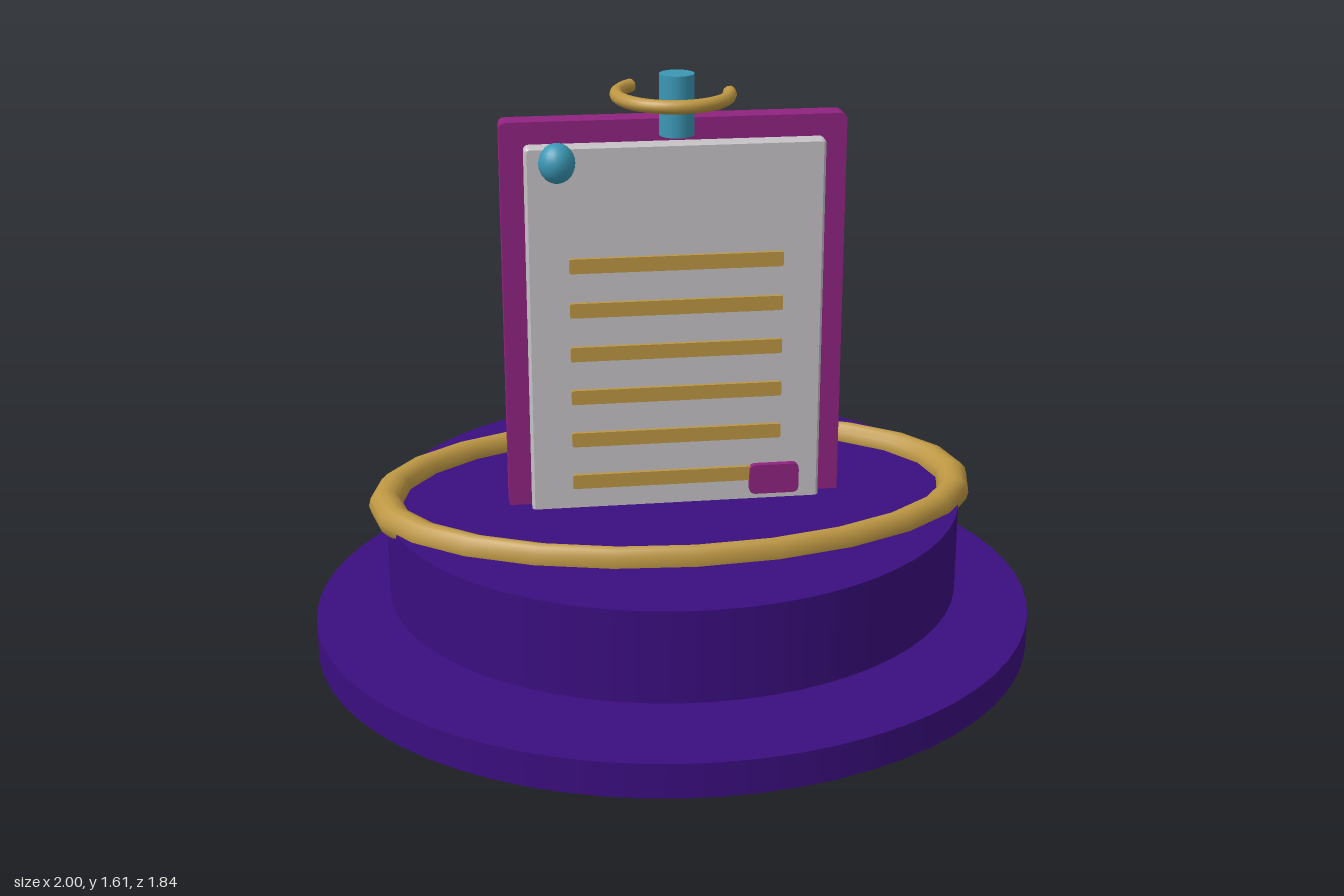
import * as THREE from 'three';

const mat = (name, color) => {
  const m = new THREE.MeshStandardMaterial({ color });
  m.name = name;
  return m;
};

export function createModel() {
  const purple = mat('purple', 0x3b0e80);
  const gold = mat('gold', 0xbd9743);
  const magenta = mat('magenta', 0x902380);
  const grey = mat('paper grey', 0xc6c2c6);
  const teal = mat('teal', 0x3a98b5);

  const model = new THREE.Group();
  model.name = 'clipboardStand';

  const add = (name, geometry, material, x = 0, y = 0, z = 0) => {
    const mesh = new THREE.Mesh(geometry, material);
    mesh.name = name;
    mesh.position.set(x, y, z);
    model.add(mesh);
    return mesh;
  };

  // Rounded rectangle plate spanning x0..x1, y0..y1 and z0..z1
  const plate = (name, material, x0, x1, y0, y1, z0, z1, r, bevel = 0) => {
    const a = x0 + bevel, b = x1 - bevel, c = y0 + bevel, d = y1 - bevel;
    const s = new THREE.Shape();
    s.moveTo(a + r, c);
    s.lineTo(b - r, c);
    s.quadraticCurveTo(b, c, b, c + r);
    s.lineTo(b, d - r);
    s.quadraticCurveTo(b, d, b - r, d);
    s.lineTo(a + r, d);
    s.quadraticCurveTo(a, d, a, d - r);
    s.lineTo(a, c + r);
    s.quadraticCurveTo(a, c, a + r, c);
    const geometry = new THREE.ExtrudeGeometry(s, {
      depth: z1 - z0 - 2 * bevel, curveSegments: 4,
      bevelEnabled: bevel > 0, bevelSize: bevel, bevelThickness: bevel, bevelSegments: 1,
    });
    return add(name, geometry, material, 0, 0, z0 + bevel);
  };

  // Oval base and the smaller drum hovering above it
  const disc = (name, rx, rz, y0, y1) => {
    const g = new THREE.CylinderGeometry(1, 1, y1 - y0, 64);
    g.scale(rx, 1, rz);
    add(name, g, purple, 0, (y0 + y1) / 2, 0);
  };
  disc('base', 1, 0.918, 0, 0.096);
  disc('drum', 0.793, 0.73, 0.155, 0.41);

  // Oval rim ring lying on the drum
  const rim = new THREE.TorusGeometry(0.795, 0.045, 12, 24);
  rim.rotateX(Math.PI / 2);
  rim.scale(1, 1, 0.578);
  add('rimRing', rim, gold, 0, 0.416, 0);

  // Board, sheet and written lines
  plate('board', magenta, -0.457, 0.457, 0.3, 1.48, -0.034, 0.034, 0.02);
  plate('sheet', grey, -0.396, 0.396, 0.35, 1.422, 0.03, 0.073, 0.008, 0.007);
  for (let i = 0; i < 6; i++) {
    const y = 1.102 - i * 0.1225;
    plate('textLine', gold, -0.285, 0.285, y - 0.02, y + 0.02, 0.07, 0.084, 0.006);
  }
  plate('cornerTab', magenta, 0.2, 0.337, 0.43, 0.515, 0.06, 0.091, 0.018);

  // Round pin at the upper corner of the sheet
  const pin = new THREE.SphereGeometry(1, 20, 14);
  pin.scale(0.048, 0.053, 0.047);
  add('pin', pin, teal, -0.312, 1.38, 0.076);

  // Clip post with its open ring
  add('clipPost', new THREE.CylinderGeometry(0.046, 0.046, 0.16, 24), teal, 0, 1.525, 0.07);
  const clip = new THREE.TorusGeometry(0.148, 0.018, 10, 24, Math.PI * 1.27);
  clip.rotateX(Math.PI / 2);
  clip.scale(1, 1, 1.07);
  const clipRing = add('clipRing', clip, gold, 0, 1.536, 0);
  // Caps closing the two ends of the clip ring
  for (const [angle, turn] of [[0, Math.PI], [Math.PI * 1.27, -Math.PI * 1.27]]) {
    const cap = new THREE.Mesh(new THREE.CircleGeometry(0.018, 10), gold);
    cap.name = 'clipRingEnd';
    cap.position.set(0.148 * Math.cos(angle), 0, 0.158 * Math.sin(angle));
    cap.rotation.y = turn;
    clipRing.add(cap);
  }

  // Leaning back struts and their foot pads, mirrored
  for (const side of [-1, 1]) {
    const top = new THREE.Vector3(side * 0.275, 0.736, -0.272);
    const bottom = new THREE.Vector3(side * 0.45, 0.125, -0.272);
    const dir = top.clone().sub(bottom);
    const strut = add('backStrut', new THREE.CylinderGeometry(0.032, 0.032, dir.length(), 16), gold);
    strut.position.copy(top).add(bottom).multiplyScalar(0.5);
    strut.quaternion.setFromUnitVectors(new THREE.Vector3(0, 1, 0), dir.normalize());

    const cx = side * 0.47;
    plate('footPad', purple, cx - 0.15, cx + 0.15, 0.08, 0.134, -0.45, -0.31, 0.022);
  }

  return model;
}
